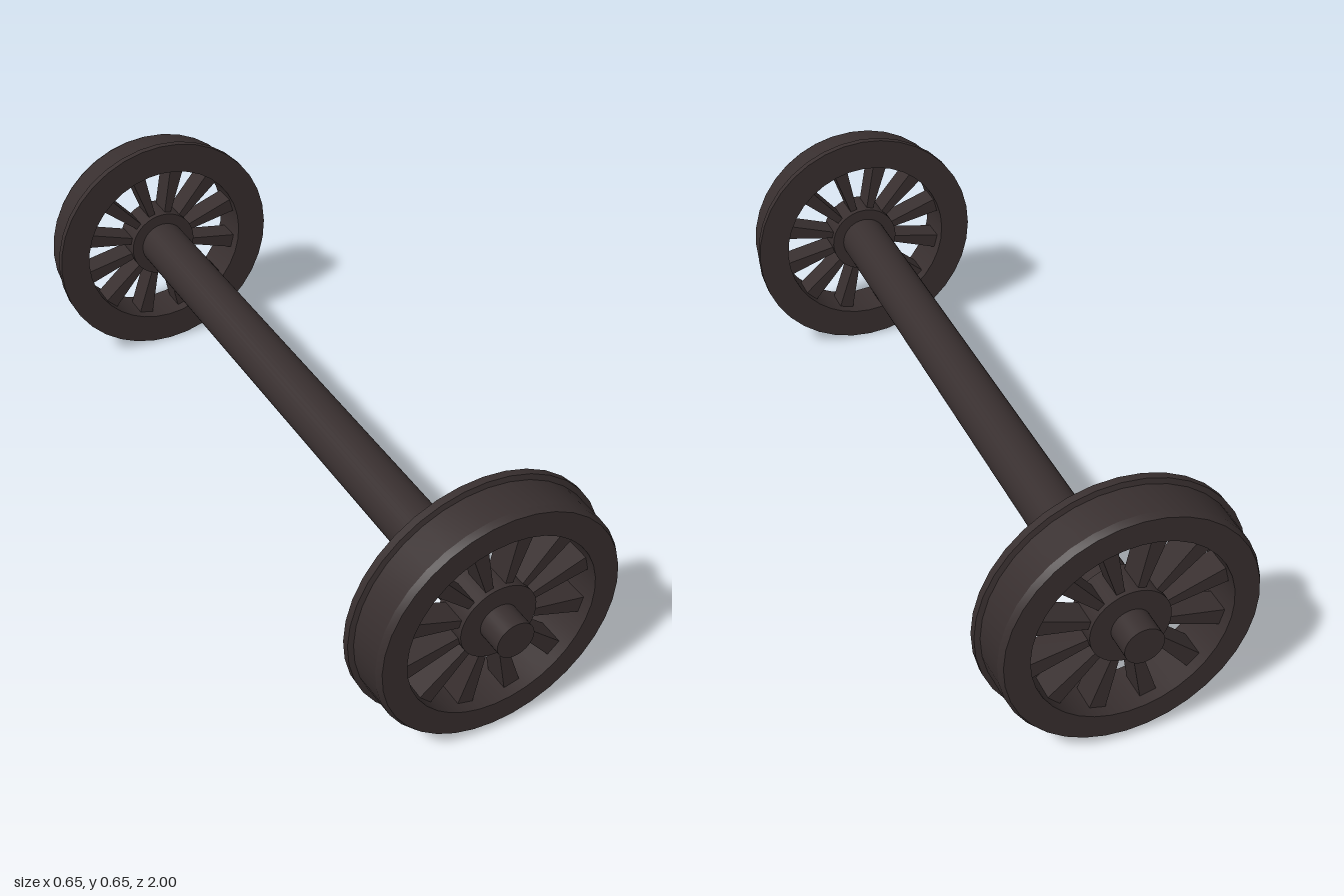
import * as THREE from 'three';
import { toCreasedNormals } from 'three/addons/utils/BufferGeometryUtils.js';

const SEGMENTS = 36;
const AXLE_HEIGHT = 0.325;

const darkIron = new THREE.MeshStandardMaterial({ color: 0x382f2f });
darkIron.name = 'darkIron';

function part(name, geometry) {
  const mesh = new THREE.Mesh(geometry, darkIron);
  mesh.name = name;
  return mesh;
}

// Cylinder lying along z between two depths
function rod(name, radius, z0, z1) {
  const geometry = new THREE.CylinderGeometry(radius, radius, z1 - z0, SEGMENTS);
  geometry.rotateX(Math.PI / 2).translate(0, 0, (z0 + z1) / 2);
  return part(name, geometry);
}

// Flanged tyre and rim: closed cross-section as (radius, depth), turned around z
function rimGeometry() {
  const profile = [
    [0.24, 0.83], [0.325, 0.83], [0.325, 0.849], [0.312, 0.852],
    [0.309, 0.938], [0.301, 0.953], [0.24, 0.953], [0.24, 0.83],
  ].map(([r, z]) => new THREE.Vector2(r, z));
  const geometry = new THREE.LatheGeometry(profile, SEGMENTS);
  geometry.rotateX(Math.PI / 2);
  return toCreasedNormals(geometry, 0.4);
}

// Spoke widening from hub to rim
function spokeGeometry() {
  const shape = new THREE.Shape([
    new THREE.Vector2(0.085, -0.009),
    new THREE.Vector2(0.247, -0.021),
    new THREE.Vector2(0.247, 0.021),
    new THREE.Vector2(0.085, 0.009),
  ]);
  const geometry = new THREE.ExtrudeGeometry(shape, { depth: 0.065, bevelEnabled: false });
  return geometry.translate(0, 0, 0.86);
}

function createWheel(name) {
  const wheel = new THREE.Group();
  wheel.name = name;
  wheel.add(part('flangedRim', rimGeometry()));
  wheel.add(rod('hub', 0.097, 0.845, 0.935));
  wheel.add(rod('journal', 0.047, 0.92, 1));

  const spoke = spokeGeometry();
  for (let i = 0; i < 12; i++) {
    const mesh = part('spoke', spoke);
    mesh.rotation.z = ((i + 0.5) * Math.PI) / 6;
    wheel.add(mesh);
  }
  return wheel;
}

export function createModel() {
  const model = new THREE.Group();
  model.name = 'wheelset';

  const assembly = new THREE.Group();
  assembly.name = 'axleAndWheels';
  assembly.position.y = AXLE_HEIGHT;
  model.add(assembly);

  assembly.add(rod('axle', 0.066, -0.87, 0.87));

  const frontWheel = createWheel('frontWheel');
  const backWheel = createWheel('backWheel');
  backWheel.rotation.y = Math.PI;
  assembly.add(frontWheel, backWheel);

  return model;
}
